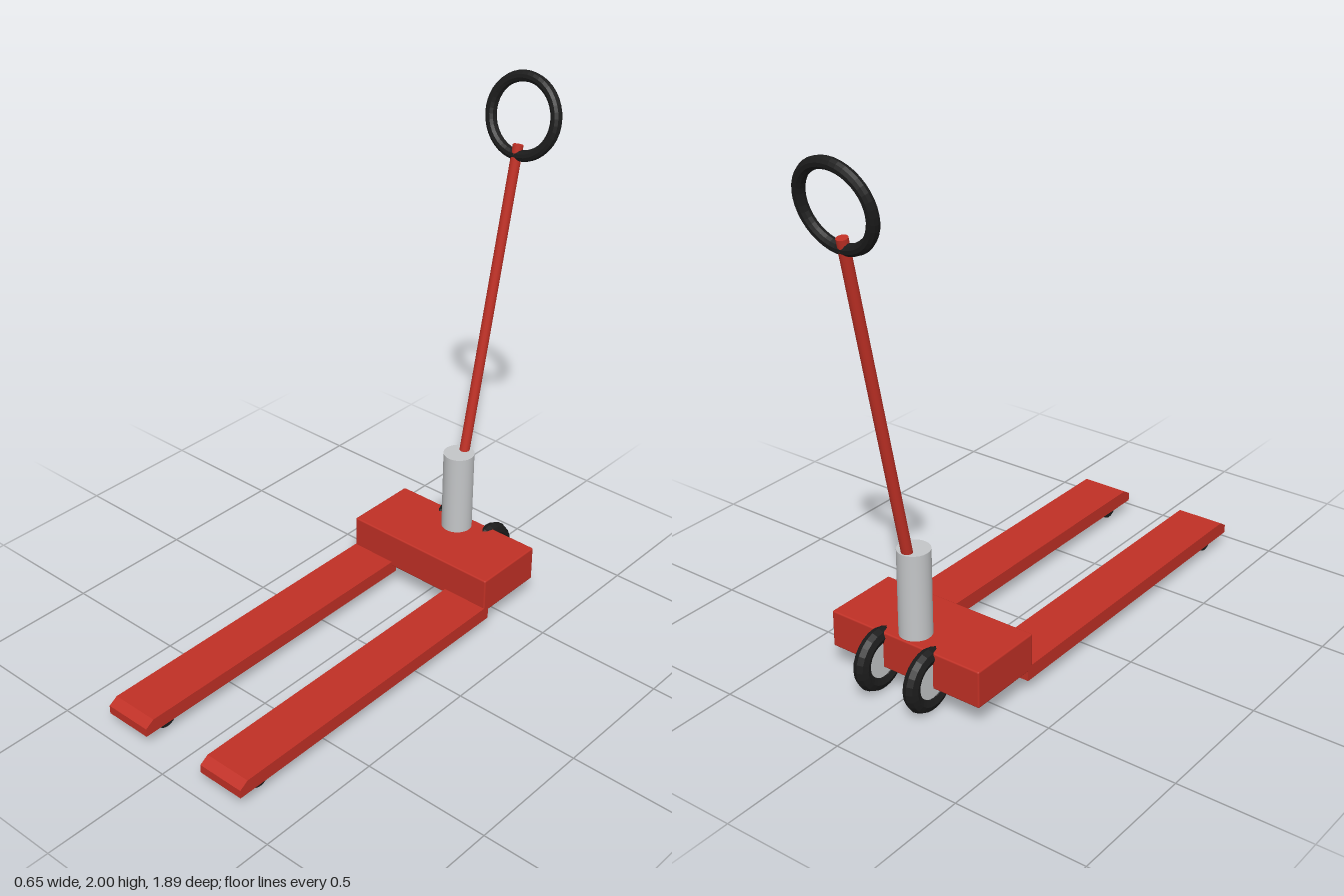
import * as THREE from 'three';
import { RoundedBoxGeometry } from 'three/addons/geometries/RoundedBoxGeometry.js';

export function createModel() {
  const model = new THREE.Group();
  model.name = 'palletJack';

  const mat = (name, color, flatShading = false) => {
    const m = new THREE.MeshStandardMaterial({ color, flatShading });
    m.name = name;
    return m;
  };
  const red = mat('red paint', 0xc03025);
  const steel = mat('light steel', 0xc4c6c8);
  const rubber = mat('black rubber', 0x1c1c1c, true);

  const add = (name, geometry, material, x = 0, y = 0, z = 0, parent = model) => {
    const mesh = new THREE.Mesh(geometry, material);
    mesh.name = name;
    mesh.position.set(x, y, z);
    parent.add(mesh);
    return mesh;
  };

  // Housing block
  add('housing', new RoundedBoxGeometry(0.65, 0.142, 0.3, 2, 0.006), red, 0, 0.163, -0.505);

  // Fork side profile (z, y), extruded across its width
  const profile = new THREE.Shape([
    [-0.38, 0.055], [0.945, 0.055], [0.945, 0.088], [0.91, 0.11], [-0.38, 0.11],
  ].map(([z, y]) => new THREE.Vector2(z, y)));
  const forkGeometry = new THREE.ExtrudeGeometry(profile, { depth: 0.19, bevelEnabled: false });
  forkGeometry.translate(0, 0, -0.095).rotateY(-Math.PI / 2);

  const rollerGeometry = new THREE.CylinderGeometry(0.045, 0.045, 0.147, 20).rotateZ(Math.PI / 2);
  const tyreGeometry = new THREE.TorusGeometry(0.09, 0.03, 8, 24).rotateY(Math.PI / 2);
  const hubGeometry = new THREE.CylinderGeometry(0.066, 0.066, 0.038, 24).rotateZ(Math.PI / 2);

  // Forks, load rollers and steering wheels on both sides
  for (const [side, s] of [['left', 1], ['right', -1]]) {
    add(side + 'Fork', forkGeometry, red, s * 0.23);
    add(side + 'Roller', rollerGeometry, rubber, s * 0.229, 0.063, 0.83);

    const wheel = new THREE.Group();
    wheel.name = side + 'Wheel';
    wheel.position.set(s * 0.11, 0.123, -0.656);
    add(side + 'Tyre', tyreGeometry, rubber, 0, 0, 0, wheel);
    add(side + 'Hub', hubGeometry, steel, 0, 0, 0, wheel);
    model.add(wheel);
  }

  // Hydraulic pump column
  add('pumpColumn', new THREE.CylinderGeometry(0.06, 0.06, 0.36, 24), steel, 0, 0.383, -0.587);

  // Leaning tiller: shaft and ring grip share one tilted frame
  const tiller = new THREE.Group();
  tiller.name = 'tiller';
  tiller.position.set(0, 0.5, -0.608);
  tiller.rotation.x = -0.21;
  add('tillerShaft', new THREE.CylinderGeometry(0.02, 0.02, 1.265, 16), red, 0, 0.6325, 0, tiller);
  add('ringGrip', new THREE.TorusGeometry(0.143, 0.021, 10, 40), rubber, 0, 1.37, 0, tiller);
  model.add(tiller);

  return model;
}
